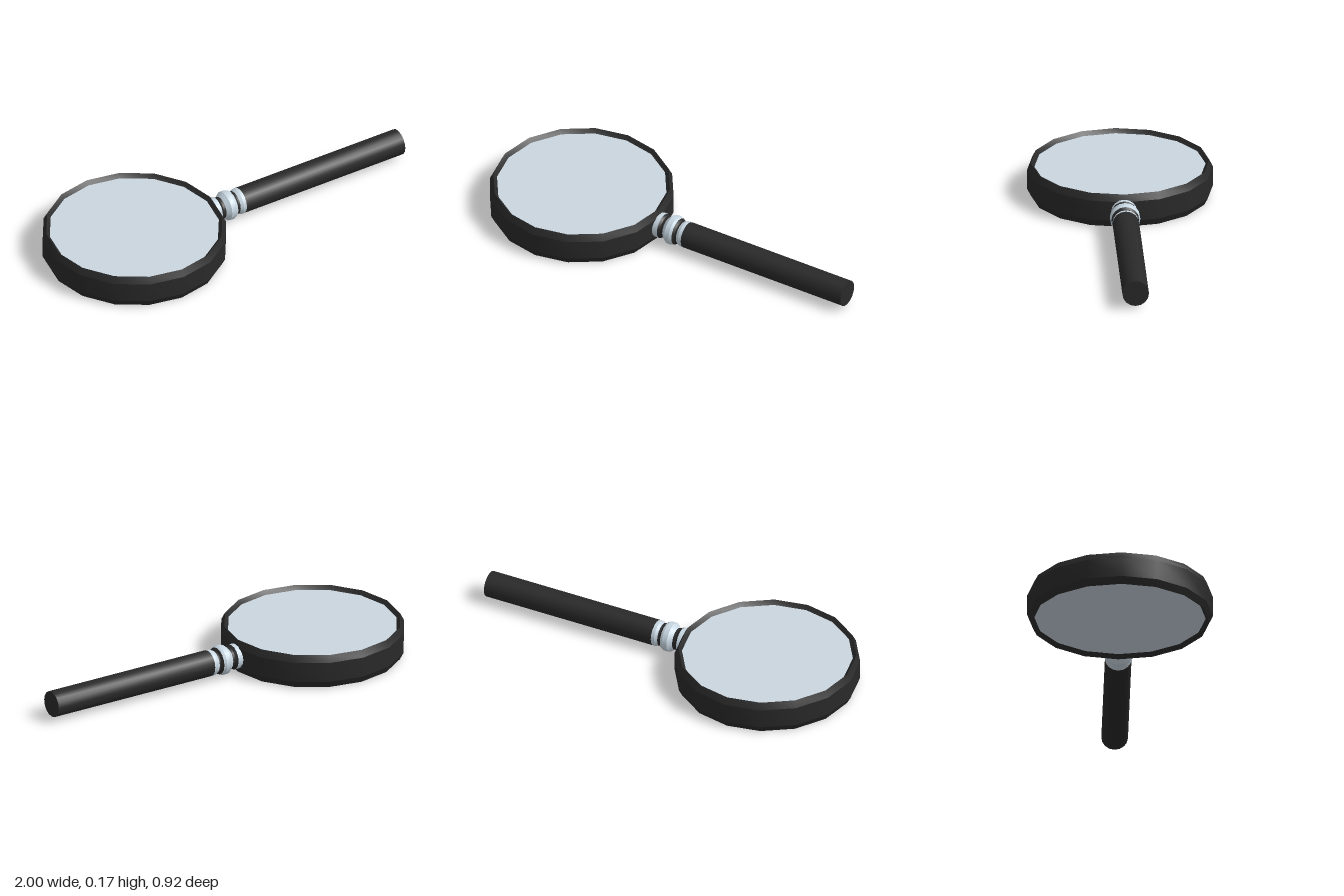
import * as THREE from 'three';
import { toCreasedNormals } from 'three/addons/utils/BufferGeometryUtils.js';

const AXIS_Y = 0.085; // height of the handle axis
const AXIS_Z = 0.003;
const LENS_X = -0.54; // centre of the lens

export function createModel() {
  const model = new THREE.Group();
  model.name = 'magnifyingGlass';

  const paint = (name, color) => {
    const m = new THREE.MeshStandardMaterial({ color });
    m.name = name;
    return m;
  };
  const black = paint('black', 0x292929);
  const metal = paint('paleMetal', 0xc8d7e2);
  const glass = paint('glass', 0xcad6df);

  const add = (name, geometry, material) => {
    const mesh = new THREE.Mesh(geometry, material);
    mesh.name = name;
    model.add(mesh);
    return mesh;
  };
  // Sixteen-sided turning, smooth around, with sharp profile edges
  const lathe = (points) => toCreasedNormals(
    new THREE.LatheGeometry(points.map(([r, y]) => new THREE.Vector2(r, y)), 16), 0.42);

  // Rim, bevelled outside and sloping inward down to the lens
  add('rim', lathe([
    [0.424, 0.02], [0.442, 0], [0.46, 0.035], [0.46, 0.137], [0.442, 0.172], [0.424, 0.152],
  ]), black).position.x = LENS_X;

  // Lens set slightly below the rim's edges
  add('lens', new THREE.CylinderGeometry(0.425, 0.425, 0.132, 16), glass)
    .position.set(LENS_X, 0.086, 0);

  // Turned parts along the handle axis: profiles are [radius, x]
  const turned = (name, points, material) => {
    const mesh = add(name, lathe(points), material);
    mesh.rotation.z = -Math.PI / 2;
    mesh.position.set(0, AXIS_Y, AXIS_Z);
  };
  turned('innerCollar', [[0.064, -0.12], [0.064, -0.064]], metal);
  turned('innerGroove', [[0.064, -0.064], [0.056, -0.052], [0.056, -0.038]], black);
  turned('bead', [[0.056, -0.038], [0.075, -0.016], [0.075, 0.01], [0.069, 0.023]], metal);
  turned('outerGroove', [[0.069, 0.023], [0.058, 0.034], [0.059, 0.043]], black);
  turned('outerCollar', [[0.059, 0.043], [0.066, 0.058], [0.066, 0.075]], metal);
  turned('handle', [[0.066, 0.075], [0.066, 1], [0, 1]], black);

  return model;
}
